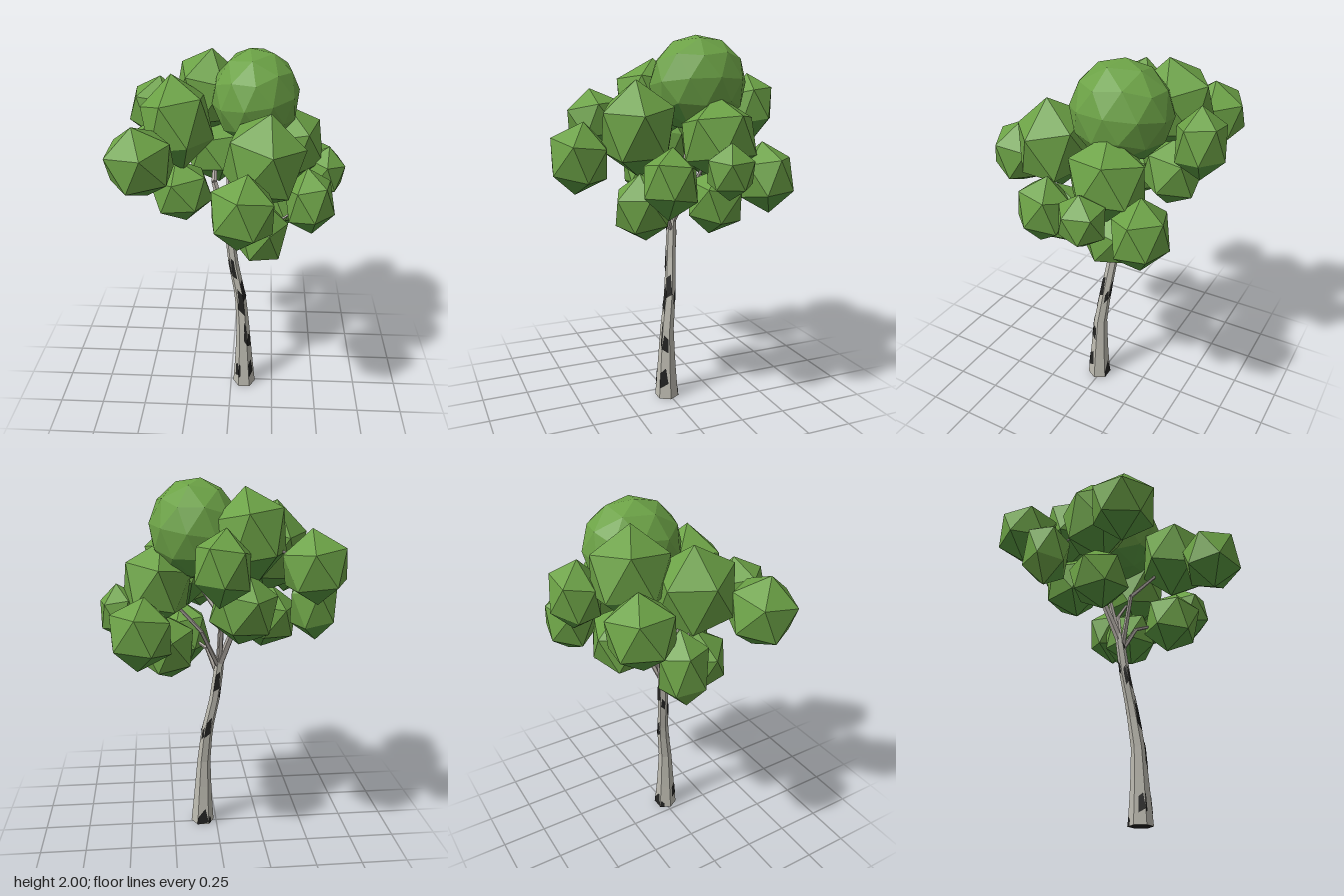
import * as THREE from 'three';

const mat = (name, color, opts = {}) => {
  const m = new THREE.MeshStandardMaterial({ color, flatShading: true, ...opts });
  m.name = name;
  return m;
};

// trunk centre line and radius: [y, x, z, r]
const SPINE = [
  [0, 0.08, 0.013, 0.066], [0.2, 0.076, 0.012, 0.05], [0.4, 0.07, 0.007, 0.038], [0.6, 0.053, -0.018, 0.032],
  [0.8, 0.012, -0.038, 0.029], [0.95, -0.007, -0.05, 0.027], [1.04, -0.017, -0.06, 0.022],
];

function spineAt(y) {
  let i = 0;
  while (i < SPINE.length - 2 && y > SPINE[i + 1][0]) i++;
  const a = SPINE[i], b = SPINE[i + 1];
  const t = (y - a[0]) / (b[0] - a[0]);
  return a.map((v, k) => v + (b[k] - v) * t);
}

// six-sided trunk point: face index, 0..1 across that face, height
function trunkPoint(face, u, y, lift) {
  const [, x, z, r] = spineAt(y);
  const corner = (k) => {
    const a = Math.PI / 6 + (k * Math.PI) / 3;
    return [Math.sin(a), Math.cos(a)];
  };
  const p = corner(face), q = corner(face + 1);
  return [x + (r + lift) * (p[0] + (q[0] - p[0]) * u), y, z + (r + lift) * (p[1] + (q[1] - p[1]) * u)];
}

// slanted bark mark lying on one trunk face
function barkMark(face, u0, u1, y0, y1, skew) {
  const pos = [], index = [], n = 6;
  for (let j = 0; j <= n; j++) {
    const y = y0 + ((y1 - y0) * j) / n;
    const wedge = (u1 - u0) * 0.3 * (j / n);
    const left = skew > 0 ? u0 : u0 + wedge;
    const right = skew > 0 ? u1 - wedge : u1;
    pos.push(...trunkPoint(face, left, Math.max(0, y), 0.002));
    pos.push(...trunkPoint(face, right, Math.max(0, y + skew), 0.002));
    if (j < n) {
      const k = j * 2;
      index.push(k, k + 1, k + 3, k, k + 3, k + 2);
    }
  }
  const g = new THREE.BufferGeometry();
  g.setAttribute('position', new THREE.Float32BufferAttribute(pos, 3));
  g.setIndex(index);
  g.computeVertexNormals();
  return g;
}

// tapered limb between two points
function limb(a, b, r0, r1, material) {
  const from = new THREE.Vector3(...a), to = new THREE.Vector3(...b);
  const dir = to.clone().sub(from);
  const m = new THREE.Mesh(new THREE.CylinderGeometry(r1, r0, dir.length(), 5), material);
  m.position.copy(from).addScaledVector(dir, 0.5);
  m.quaternion.setFromUnitVectors(new THREE.Vector3(0, 1, 0), dir.normalize());
  m.name = 'branch';
  return m;
}

// faceted leaf ball with one corner up; its lowest faces take the second material
function leafBall([x, y, z, rx, ry, rz], i, materials, detail) {
  const g = new THREE.IcosahedronGeometry(1, detail);
  g.rotateZ(Math.atan(2 / (1 + Math.sqrt(5))));
  g.rotateY(i * 1.7 + 0.4);
  g.rotateX(0.14 * Math.sin(i * 2.3));
  g.rotateZ(0.14 * Math.cos(i * 3.1));
  g.scale(rx, ry, rz);
  g.computeVertexNormals();
  const nor = g.attributes.normal;
  for (let f = 0; f < nor.count; f += 3) g.addGroup(f, 3, nor.getY(f) < -0.6 ? 1 : 0);
  const m = new THREE.Mesh(g, materials);
  m.position.set(x, y, z);
  m.name = 'leafBall';
  return m;
}

export function createModel() {
  const tree = new THREE.Group();
  tree.name = 'tree';
  const bark = mat('paleBark', 0xbcbab0);
  const dark = mat('darkBark', 0x222221, { side: THREE.DoubleSide });
  const twig = mat('branchBark', 0xb0aaa3);
  const leaves = [mat('leafGreen', 0x6ca246), mat('deepLeafGreen', 0x589840)];

  // trunk
  const h = 1.04;
  const g = new THREE.CylinderGeometry(1, 1, h, 6, 13, false, Math.PI / 6);
  const p = g.attributes.position;
  for (let i = 0; i < p.count; i++) {
    const y = p.getY(i) + h / 2;
    const [, x, z, r] = spineAt(y);
    p.setXYZ(i, x + p.getX(i) * r, y, z + p.getZ(i) * r);
  }
  g.computeVertexNormals();
  const trunk = new THREE.Mesh(g, [bark, bark, dark]);
  trunk.name = 'trunk';
  tree.add(trunk);

  // dark bark marks: face, across from/to, height from/to, slant
  const marks = [
    [4, 0.4, 1, 0.06, 0.14, 0.02], [-1, 0, 0.2, 0.06, 0.15, 0.01], [0, 0, 0.8, 0.06, 0.15, 0.03],
    [0, 0, 0.8, 0.29, 0.37, -0.02], [-1, 0.65, 1, 0.32, 0.45, -0.03], [-1, 0, 1, 0.53, 0.66, -0.04],
    [0, 0, 1, 0.58, 0.69, 0.02], [4, 0.4, 1, 0.74, 0.83, 0.02], [-1, 0, 0.7, 0.74, 0.85, -0.02],
    [-1, 0, 0.6, 0.94, 0.98, 0.02], [2, 0, 1, -0.05, 0.04, 0.06], [3, 0, 0.4, 0, 0.05, -0.02],
    [2, 0.1, 1, 0.56, 0.66, 0.03], [1, 0.4, 1, 0.54, 0.6, 0.03],
    [2, 0, 1, 0.85, 0.95, 0.02], [3, 0.1, 0.8, 0.82, 0.88, -0.02],
  ];
  const markGroup = new THREE.Group();
  markGroup.name = 'barkMarks';
  marks.forEach((m) => {
    const mesh = new THREE.Mesh(barkMark(...m), dark);
    mesh.name = 'barkMark';
    markGroup.add(mesh);
  });
  tree.add(markGroup);

  // leaf balls: centre, then radii
  const balls = [
    [0.12, 1.75, -0.145, 0.23, 0.25, 0.26], // crown
    [-0.14, 1.735, -0.3, 0.195, 0.235, 0.22],
    [-0.28, 1.64, -0.03, 0.2, 0.25, 0.22],
    [0.17, 1.53, 0.21, 0.22, 0.25, 0.21],
    [0.315, 1.48, -0.175, 0.19, 0.22, 0.215],
    [0.075, 1.385, 0.49, 0.175, 0.19, 0.17],
    [-0.435, 1.53, 0.25, 0.19, 0.19, 0.185],
    [-0.48, 1.38, -0.22, 0.14, 0.2, 0.135],
    [-0.27, 1.265, -0.02, 0.18, 0.175, 0.17],
    [0.16, 1.125, 0.18, 0.15, 0.185, 0.17],
    [0.41, 1.285, 0.13, 0.14, 0.18, 0.155],
    [0.505, 1.34, -0.145, 0.115, 0.145, 0.135],
    [0.4, 1.285, -0.4, 0.175, 0.185, 0.15],
    [0.27, 1.155, -0.18, 0.16, 0.18, 0.17],
    [0.015, 1.62, -0.515, 0.15, 0.185, 0.14],
    [-0.435, 1.6, -0.41, 0.175, 0.185, 0.18],
    [-0.105, 1.385, -0.33, 0.18, 0.19, 0.175],
  ];
  const crown = new THREE.Group();
  crown.name = 'foliage';
  balls.forEach((b, i) => crown.add(leafBall(b, i, leaves, i === 0 ? 1 : 0)));
  tree.add(crown);

  // forks leave the trunk top, bend once and end inside the larger leaf balls
  const forks = [
    { from: [-0.012, 1.0, -0.055], at: [-0.1, 1.27, -0.13], to: 16, r: 0.022 },
    { from: [-0.007, 0.95, -0.045], at: [-0.03, 1.25, 0.03], to: 3, r: 0.016 },
    { from: [-0.005, 0.94, -0.05], at: [0.05, 1.08, 0.01], to: 9, r: 0.014 },
    { from: [-0.01, 0.99, -0.055], at: [0.09, 1.22, -0.14], to: 4, r: 0.015 },
    { from: [-0.015, 1.02, -0.06], at: [-0.02, 1.3, -0.13], to: 0, r: 0.016 },
  ];
  const limbs = new THREE.Group();
  limbs.name = 'branches';
  const centre = (k) => balls[k].slice(0, 3);
  forks.forEach(({ from, at, to, r }) => {
    limbs.add(limb(from, at, r, r * 0.75, twig));
    limbs.add(limb(at, centre(to), r * 0.75, r * 0.4, twig));
  });
  // thin twigs from the larger balls to the outer ones
  [[3, 5], [2, 6], [2, 7], [2, 8], [9, 10], [4, 11], [4, 12], [4, 13], [1, 14], [1, 15], [16, 1]].forEach(([a, b]) =>
    limbs.add(limb(centre(a), centre(b), 0.008, 0.005, twig)));
  tree.add(limbs);
  return tree;
}
